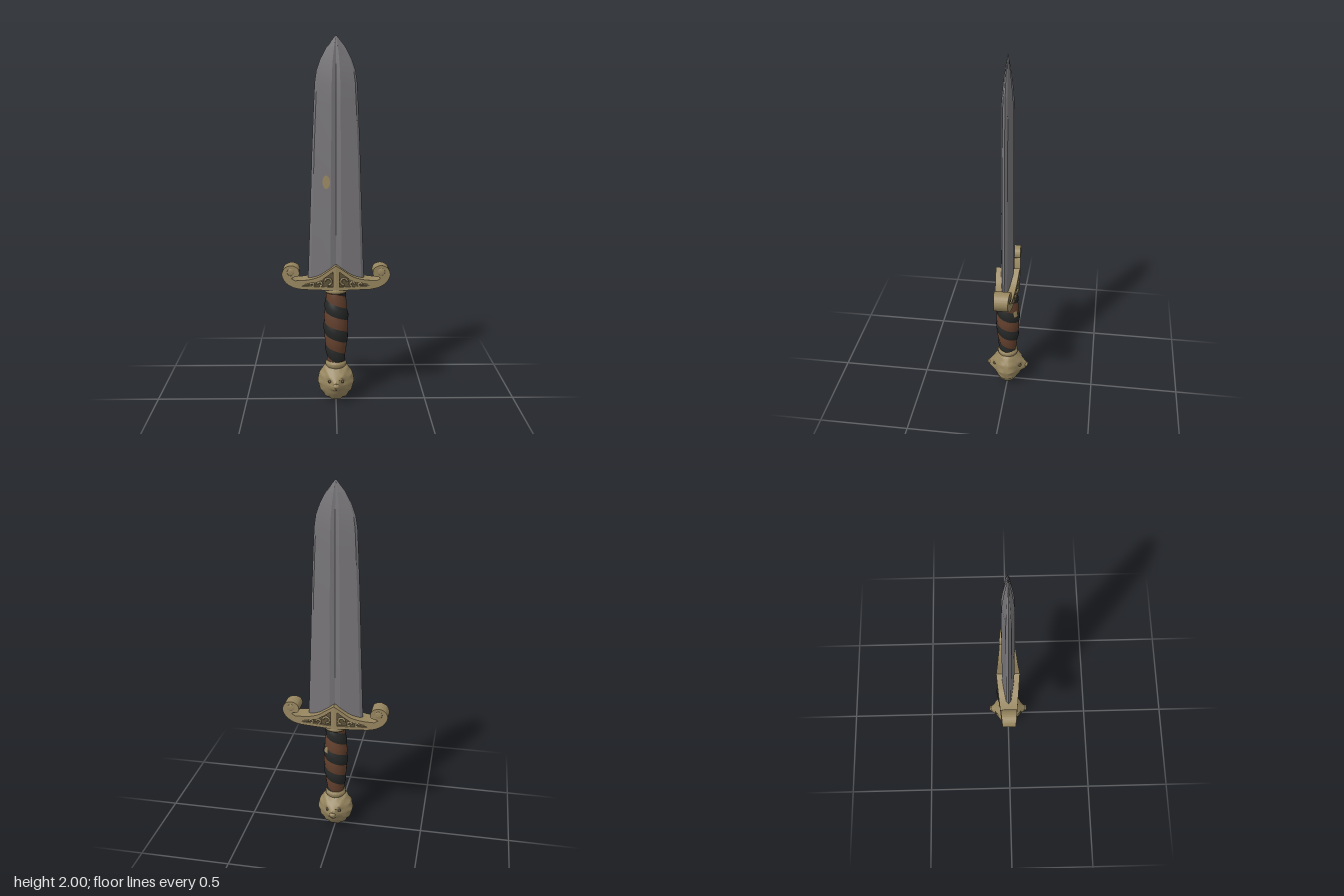
import * as THREE from 'three';
import { toCreasedNormals } from 'three/addons/utils/BufferGeometryUtils.js';

const mat = (name, color) => new THREE.MeshStandardMaterial({ name, color });

// Linear interpolation through rows of [y, value, ...]
function sample(rows, y, k) {
  for (let i = 1; i < rows.length; i++) {
    const a = rows[i - 1], b = rows[i];
    if (y <= b[0]) return THREE.MathUtils.lerp(a[k], b[k], THREE.MathUtils.clamp((y - a[0]) / (b[0] - a[0]), 0, 1));
  }
  return rows[rows.length - 1][k];
}

// Grid of points fn(i, j); i runs to the right and j upward seen from outside
function gridGeometry(nu, nv, fn) {
  const pos = [], idx = [];
  for (let j = 0; j <= nv; j++) for (let i = 0; i <= nu; i++) pos.push(...fn(i, j));
  for (let j = 0; j < nv; j++) for (let i = 0; i < nu; i++) {
    const a = j * (nu + 1) + i, b = a + 1, c = a + nu + 1, d = c + 1;
    idx.push(a, b, c, b, d, c);
  }
  const g = new THREE.BufferGeometry();
  g.setAttribute('position', new THREE.Float32BufferAttribute(pos, 3));
  g.setIndex(idx);
  g.computeVertexNormals();
  return g;
}

// Blade rows: y, half width, thickness factor
const BLADE = [[0.68, 0.154, 1], [0.8, 0.149, 1], [1.1, 0.138, 1], [1.4, 0.128, 0.98], [1.65, 0.117, 0.95],
  [1.76, 0.111, 0.88], [1.82, 0.102, 0.74], [1.88, 0.081, 0.55], [1.94, 0.049, 0.32], [2, 0.001, 0.03]];
// Quarter cross-section: fraction of half width, half thickness
const SECTION = [[1, 0], [0.9, 0.014], [0.2, 0.034], [0, 0.025]];
const GRIP = [[0.22, 0.045], [0.27, 0.05], [0.34, 0.059], [0.43, 0.065], [0.5, 0.064], [0.57, 0.057], [0.64, 0.05]];
const guardDepth = x => 0.067 - 0.1 * Math.abs(x);

// Half of the guard, tapering in depth toward its end
function guardHalf(shape, scale) {
  let g = new THREE.ExtrudeGeometry(shape, { depth: 1, bevelEnabled: false, curveSegments: 8 });
  g.translate(0, 0, -0.5);
  const p = g.attributes.position;
  for (let i = 0; i < p.count; i++) p.setZ(i, p.getZ(i) * 2 * scale * guardDepth(p.getX(i)));
  return toCreasedNormals(g, 0.6);
}

function guardShape() {
  const s = new THREE.Shape();
  s.moveTo(0, 0.655);
  s.lineTo(0.185, 0.657);
  s.splineThru([[0.235, 0.668], [0.275, 0.695], [0.294, 0.735], [0.28, 0.772], [0.245, 0.788], [0.21, 0.776],
    [0.198, 0.748], [0.207, 0.729], [0.228, 0.725], [0.241, 0.716]].map(p => new THREE.Vector2(...p)));
  s.lineTo(0.222, 0.705);
  s.lineTo(0.18, 0.708);
  s.quadraticCurveTo(0.1, 0.715, 0.06, 0.75);
  s.quadraticCurveTo(0.03, 0.772, 0, 0.792);
  return s;
}

// Head-shaped pommel with a muzzle on both faces and a ridged mane
function pommelGeometry() {
  const g = new THREE.SphereGeometry(1, 48, 32);
  const p = g.attributes.position;
  for (let i = 0; i < p.count; i++) {
    const x = p.getX(i), y = p.getY(i), z = p.getZ(i);
    const side = Math.sqrt(x * x + y * y);
    const mane = 1 + 0.04 * side * side * Math.cos(Math.atan2(y, x) * 14) * Math.min(1, Math.abs(z) * 3);
    const muzzle = Math.exp(-(x * x / 0.11 + (y - 0.02) ** 2 / 0.16));
    const brow = Math.exp(-((Math.abs(x) - 0.38) ** 2 / 0.03 + (y - 0.4) ** 2 / 0.03));
    const eye = Math.exp(-((Math.abs(x) - 0.34) ** 2 / 0.02 + (y - 0.16) ** 2 / 0.015));
    const mouth = Math.exp(-(x * x / 0.1 + (y + 0.32) ** 2 / 0.006));
    p.setXYZ(i, x * 0.101 * mane * (y < 0 ? 1 + 0.1 * y : 1), 0.117 + y * 0.112 * mane,
      z * (0.075 + 0.044 * muzzle + 0.012 * brow - 0.012 * eye - 0.012 * mouth));
  }
  g.computeVertexNormals();
  return toCreasedNormals(g, 0.5);
}

export function createModel() {
  const root = new THREE.Group();
  root.name = 'dagger';
  const steel = mat('steel', 0x777578), brass = mat('agedBrass', 0x97865f);
  const brown = mat('brownLeather', 0x63402d), black = mat('blackLeather', 0x262727);
  const dark = mat('darkCrevice', 0x5c5039);
  const add = (name, geometry, material, parent = root) => {
    const m = new THREE.Mesh(geometry, material);
    m.name = name;
    parent.add(m);
    return m;
  };

  // Blade: full ring of section points, mirrored from one quarter
  const ring = [];
  for (let q = 0; q < 4; q++) for (let k = 0; k < 3; k++) {
    const [fx, z] = SECTION[q % 2 ? 3 - k : k];
    ring.push([q === 1 || q === 2 ? -fx : fx, q < 2 ? -z : z]);
  }
  ring.push(ring[0]);
  const blade = gridGeometry(12, BLADE.length - 1, (i, j) => {
    const [y, w, t] = BLADE[j];
    return [ring[i][0] * w, y, ring[i][1] * t];
  });
  add('blade', toCreasedNormals(blade, 0.12), steel);

  // Worn patch lying on the front left face of the blade
  const stain = new THREE.CircleGeometry(1, 14);
  const sp = stain.attributes.position;
  for (let i = 0; i < sp.count; i++) {
    const x = -0.052 + sp.getX(i) * 0.02, y = 1.24 + sp.getY(i) * 0.036;
    const f = -x / sample(BLADE, y, 1);
    sp.setXYZ(i, x, y, THREE.MathUtils.lerp(0.034, 0.014, (f - 0.2) / 0.7) + 0.001);
  }
  stain.computeVertexNormals();
  add('bladeStain', stain, brass);

  // Guard: raised frame with a recessed panel and leaf scrolls
  const guard = new THREE.Group();
  guard.name = 'guard';
  root.add(guard);
  const frame = guardShape();
  frame.holes.push(new THREE.Path([[0.018, 0.673], [0.018, 0.758], [0.05, 0.732], [0.095, 0.702], [0.165, 0.692],
    [0.185, 0.675]].map(p => new THREE.Vector2(...p))));
  const panel = new THREE.Shape([[0, 0.665], [0, 0.765], [0.055, 0.74], [0.1, 0.707], [0.175, 0.698],
    [0.195, 0.668]].map(p => new THREE.Vector2(...p)));
  for (const turn of [0, Math.PI]) {
    const half = new THREE.Group();
    half.name = turn ? 'guardRight' : 'guardLeft';
    half.rotation.y = turn;
    guard.add(half);
    add('guardFrame', guardHalf(frame, 1), brass, half);
    add('guardPanel', guardHalf(panel, 0.87), dark, half);
    for (const s of [1, -1]) {
      for (const [x, y, r] of [[0.043, 0.703, 0.018], [0.088, 0.688, 0.012], [0.13, 0.683, 0.01]]) {
        const leaf = add('guardLeaf', new THREE.TorusGeometry(r, 0.006, 6, 14, 4.8), brass, half);
        leaf.position.set(x, y, s * guardDepth(x) * 0.92);
      }
      // Rounded eye of the end scroll
      const eye = add('scrollEye', new THREE.SphereGeometry(0.02, 14, 8), brass, half);
      eye.position.set(0.245, 0.752, s * guardDepth(0.245));
      eye.scale.z = 0.2;
    }
  }

  // Collar under the guard
  const lathe = pts => new THREE.LatheGeometry(pts.map(p => new THREE.Vector2(...p)), 28);
  add('collar', toCreasedNormals(lathe([[0, 0.628], [0.05, 0.628], [0.061, 0.635], [0.063, 0.645],
    [0.057, 0.66], [0, 0.66]]), 0.6), brass);

  // Grip core and two spiral leather wraps
  add('gripCore', lathe(GRIP.map(([y, r]) => [r - 0.003, y])), black);
  const pitch = 0.132, y0 = 0.23, y1 = 0.63, steps = 140, turns = 5.5;
  const wrap = (start, bulge) => gridGeometry(steps, 5, (i, j) => {
    const a = (i / steps) * turns * Math.PI * 2, v = j / 5;
    const y = THREE.MathUtils.clamp(start - pitch * a / (Math.PI * 2) + v * pitch / 2, y0, y1);
    const r = sample(GRIP, y, 1) + bulge * 4 * v * (1 - v);
    return [Math.sin(a) * r, y, Math.cos(a) * r];
  });
  add('brownWrap', wrap(0.83, 0.002), brown);
  add('blackWrap', wrap(0.83 + pitch / 2, 0.005), black);

  // Small brass plate on the back left of the grip
  add('gripPlate', gridGeometry(4, 2, (i, j) => {
    const a = 2.2 + i * 0.1, y = 0.495 + j * 0.018, r = sample(GRIP, y, 1) + 0.006;
    return [Math.sin(a) * r, y, Math.cos(a) * r];
  }), brass);

  // Pommel with its neck ring
  add('pommelRing', toCreasedNormals(lathe([[0, 0.195], [0.05, 0.2], [0.058, 0.213], [0.058, 0.226],
    [0.05, 0.238], [0, 0.238]]), 0.6), brass);
  add('pommel', pommelGeometry(), brass);
  for (const s of [1, -1]) {
    for (const x of [-1, 1]) {
      const eye = add('pommelEye', new THREE.SphereGeometry(0.009, 10, 8), dark);
      eye.position.set(x * 0.035, 0.137, s * 0.076);
    }
    const nose = add('pommelNose', new THREE.SphereGeometry(0.016, 12, 8), brass);
    nose.position.set(0, 0.122, s * 0.108);
    nose.scale.set(1.2, 0.8, 0.8);
  }
  return root;
}
